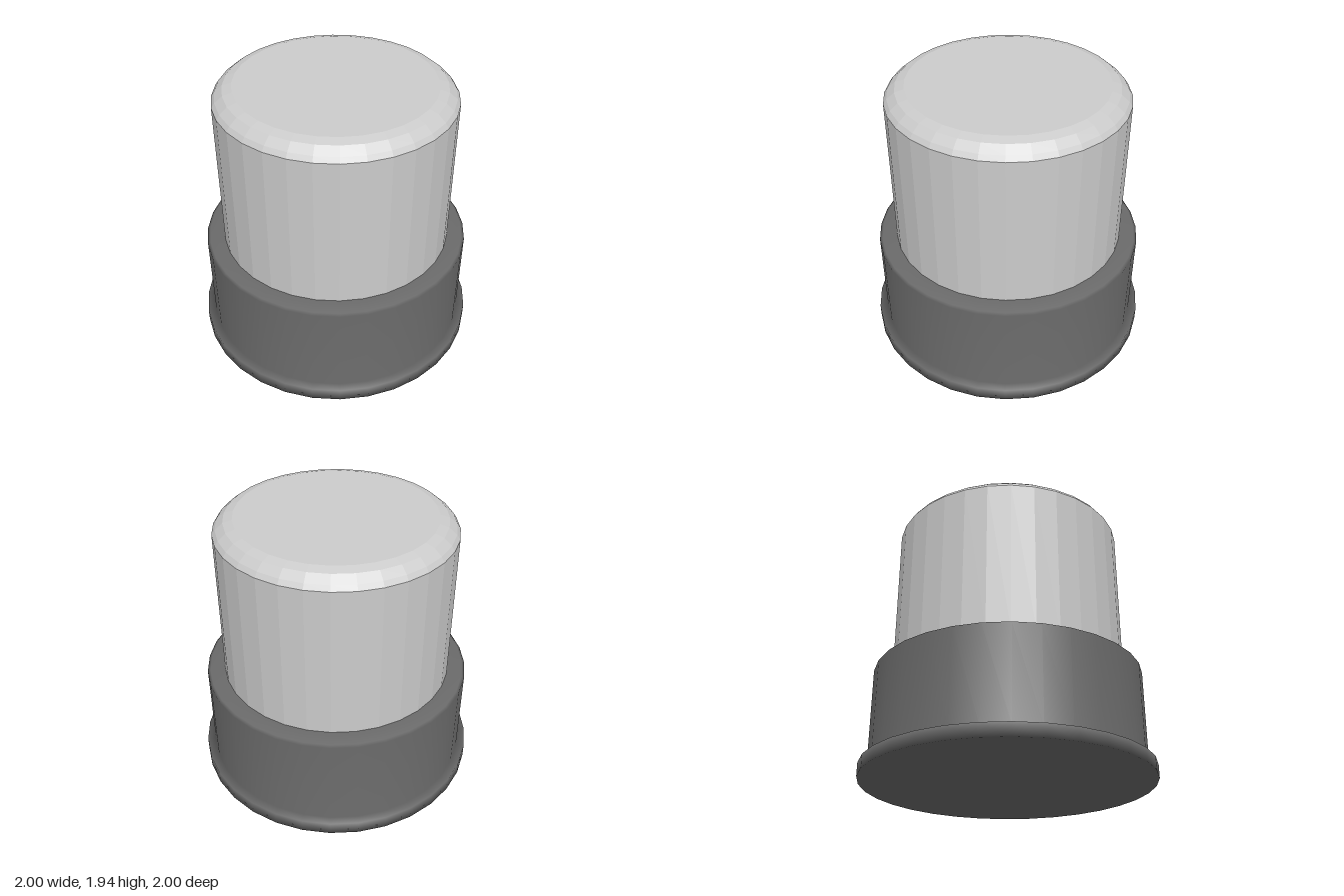
import * as THREE from 'three';

const SIDES = 32;

// Turns a profile of [radius, height] pairs, listed from bottom to top
function turned(name, profile, material) {
  const points = profile.map(([r, y]) => new THREE.Vector2(r, y));
  const mesh = new THREE.Mesh(new THREE.LatheGeometry(points, SIDES), material);
  mesh.name = name;
  return mesh;
}

export function createModel() {
  const group = new THREE.Group();
  group.name = 'cappedCylinder';

  // Dark smooth collar with a thin foot flange and a softened upper rim
  const dark = new THREE.MeshStandardMaterial({ color: 0x6a6a6a });
  group.add(turned('collarBase', [
    [0, 0], [1, 0], [1, 0.09], [0.94, 0.09],
    [0.94, 0.745], [0.92, 0.755], [0.85, 0.765], [0.80, 0.765],
  ], dark));

  // Light faceted cap with a rounded top edge
  const light = new THREE.MeshStandardMaterial({ color: 0xcccccc, flatShading: true });
  group.add(turned('cap', [
    [0.813, 0.75], [0.813, 1.845], [0.79, 1.878],
    [0.737, 1.922], [0.675, 1.94], [0, 1.94],
  ], light));

  return group;
}
